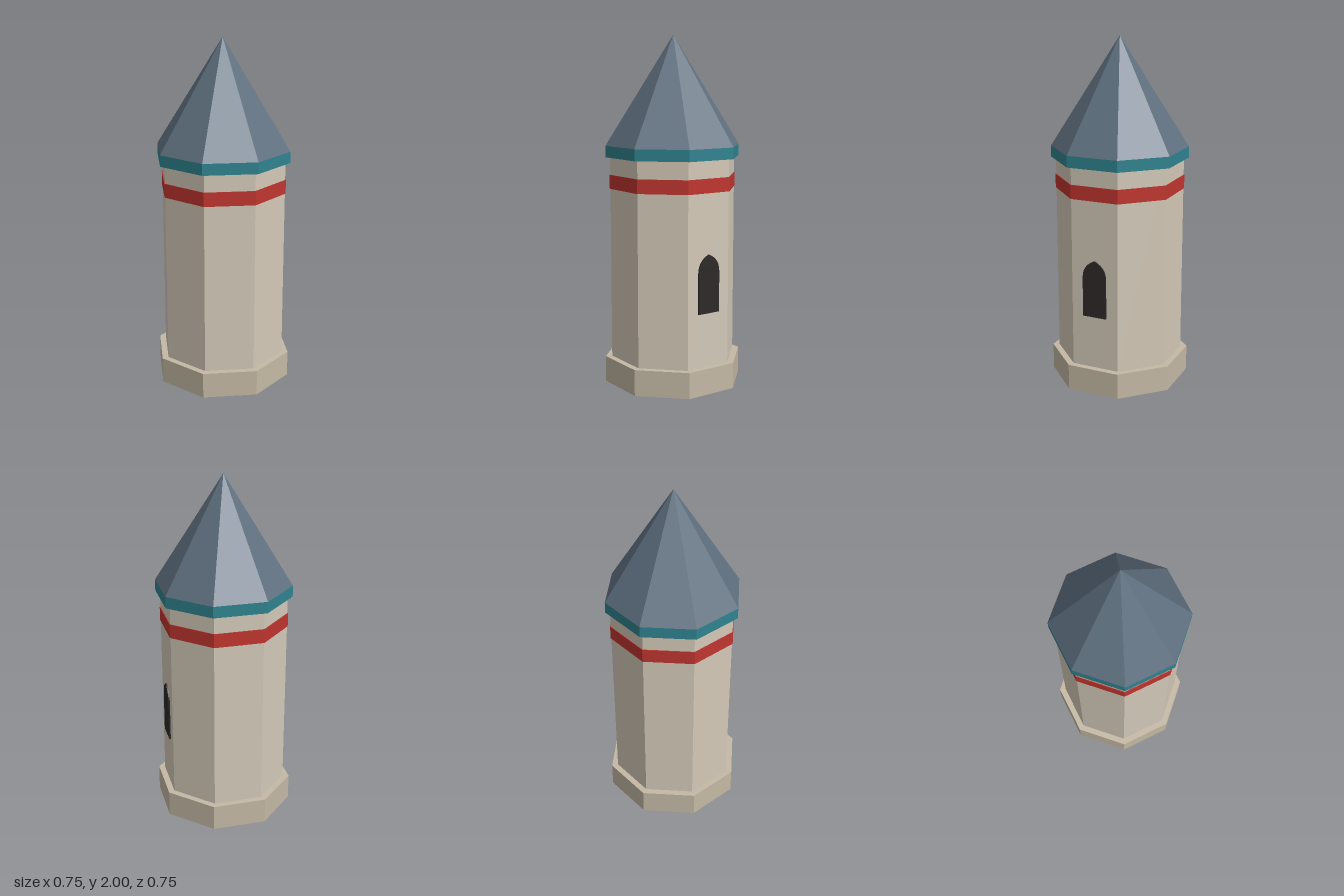
import * as THREE from 'three';

const SIDES = 8;
const TO_CORNER = 1 / Math.cos(Math.PI / SIDES);

function paint(color) {
  return new THREE.MeshStandardMaterial({ color, flatShading: true });
}

// Octagonal prism or pyramid with flat sides facing the axes; sizes are centre-to-flat
function octagon(name, bottom, top, y0, y1, color) {
  const geometry = new THREE.CylinderGeometry(
    top * TO_CORNER, bottom * TO_CORNER, y1 - y0, SIDES, 1, false, Math.PI / SIDES);
  geometry.translate(0, (y0 + y1) / 2, 0);
  const mesh = new THREE.Mesh(geometry, paint(color));
  mesh.name = name;
  return mesh;
}

// Arched window, a thin dark panel set into the left wall
function archedWindow() {
  const w = 0.071, sill = 0.46, spring = 0.69, peak = 0.793;
  const shape = new THREE.Shape();
  shape.moveTo(-w, sill);
  shape.lineTo(w, sill);
  shape.lineTo(w, spring);
  shape.quadraticCurveTo(w, peak - 0.03, 0, peak);
  shape.quadraticCurveTo(-w, peak - 0.03, -w, spring);
  shape.closePath();
  const geometry = new THREE.ExtrudeGeometry(shape, { depth: 0.03, bevelEnabled: false, curveSegments: 6 });
  const mesh = new THREE.Mesh(geometry, paint(0x2e2928));
  mesh.name = 'window';
  mesh.rotation.y = Math.PI / 2;
  mesh.position.x = 0.316;
  return mesh;
}

export function createModel() {
  const tower = new THREE.Group();
  tower.name = 'tower';
  tower.add(
    octagon('base', 0.373, 0.373, 0, 0.15, 0xc4b9a4),
    octagon('shaft', 0.338, 0.338, 0.15, 1.33, 0xd3c9b8),
    octagon('redBand', 0.342, 0.342, 1.135, 1.215, 0xc0352f),
    octagon('eaves', 0.363, 0.363, 1.315, 1.38, 0x2f838f),
    octagon('roof', 0.363, 0, 1.38, 2, 0x5f7080),
    archedWindow(),
  );
  return tower;
}
